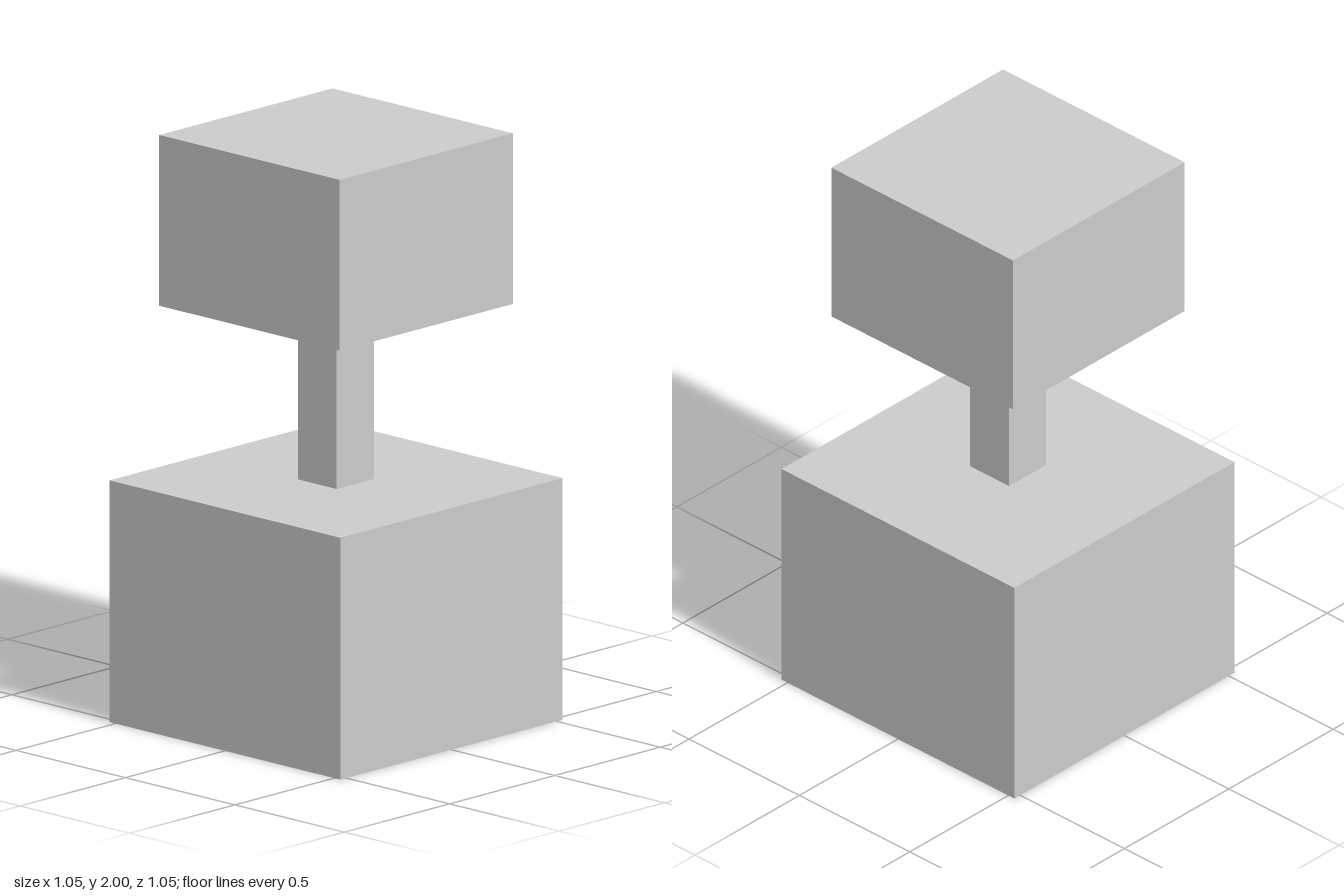
import * as THREE from 'three';

export function createModel() {
  const model = new THREE.Group();
  const grey = new THREE.MeshStandardMaterial({ color: 0xcccccc });
  grey.name = 'lightGrey';

  // Square block of the given width, spanning bottom to top
  function addBlock(name, width, bottom, top) {
    const mesh = new THREE.Mesh(new THREE.BoxGeometry(width, top - bottom, width), grey);
    mesh.name = name;
    mesh.position.y = (bottom + top) / 2;
    model.add(mesh);
  }

  addBlock('base', 1.055, 0, 0.824);
  addBlock('post', 0.177, 0.824, 1.418);
  addBlock('topBlock', 0.823, 1.418, 2);

  return model;
}
